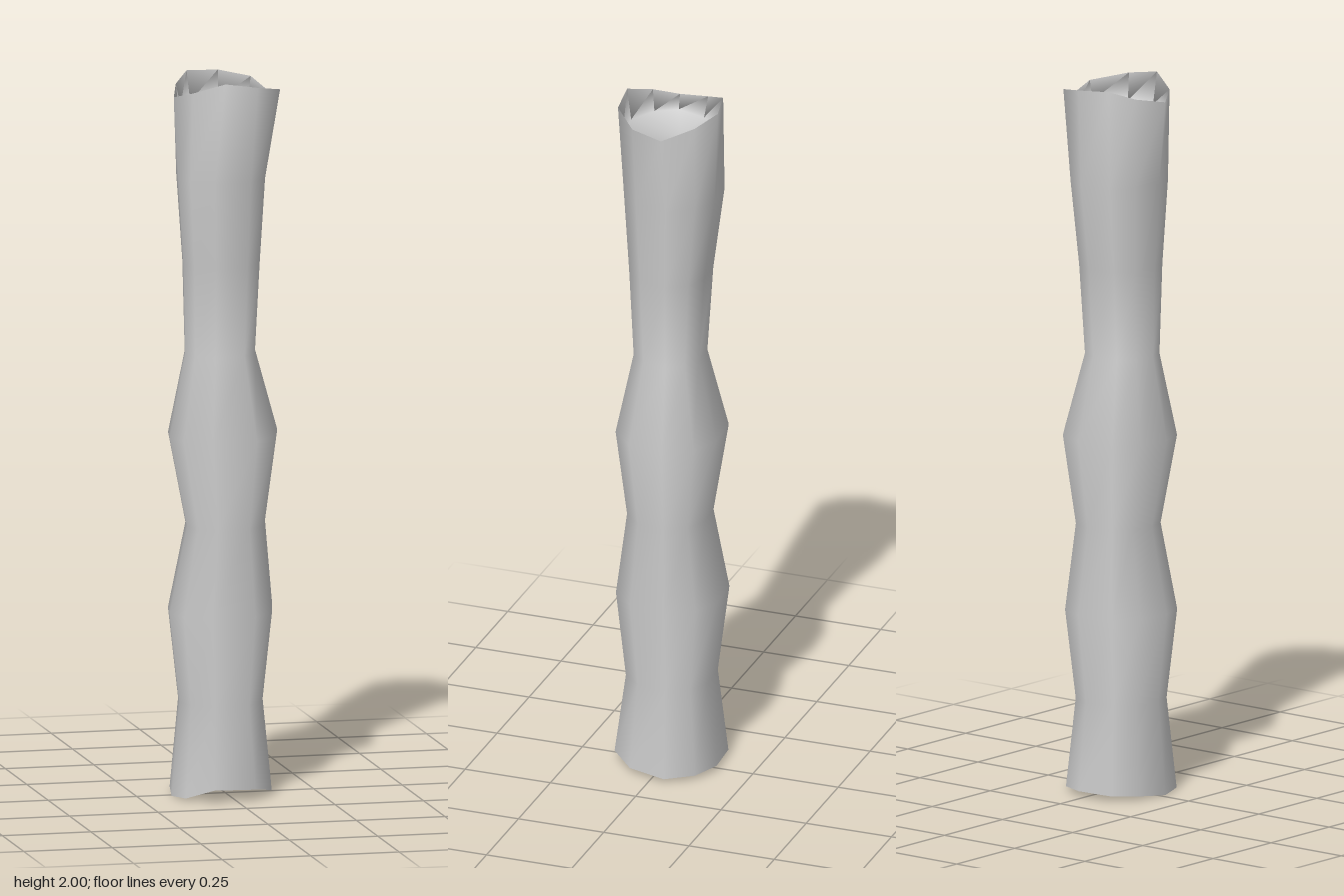
import * as THREE from 'three';

// Ten-sided irregular outline as [x, z], counter-clockwise seen from above
const OUTLINE = [[0.16, -0.043], [0.105, -0.12], [0.02, -0.157], [-0.096, -0.15], [-0.143, -0.08],
  [-0.16, 0.015], [-0.137, 0.09], [-0.07, 0.152], [0.06, 0.135], [0.13, 0.068]];
const RIM = [[0.138, -0.032], [0.1, -0.116], [0.016, -0.153], [-0.077, -0.134], [-0.122, -0.073],
  [-0.15, 0.02], [-0.112, 0.085], [-0.03, 0.13], [0.063, 0.122], [0.143, 0.05]];

// Heights of the wavy cut ends
const BOTTOM_Y = [0.01, 0.012, 0.015, 0.015, 0.01, 0, 0.005, 0.035, 0.03, 0.015];
const TOP_Y = [1.94, 1.975, 1.99, 1.995, 1.97, 1.95, 1.97, 2.0, 1.985, 1.965];

// Stem rings: y, -x, +x, -z, +z extents
const RINGS = [
  [0.26, 0.132, 0.113, 0.123, 0.12],
  [0.51, 0.16, 0.143, 0.152, 0.148],
  [0.75, 0.11, 0.12, 0.115, 0.115],
  [1.0, 0.16, 0.157, 0.15, 0.147],
  [1.23, 0.115, 0.09, 0.095, 0.098],
  [1.48, 0.12, 0.105, 0.112, 0.11],
  [1.72, 0.135, 0.122, 0.143, 0.125],
];

// Fit the outline to the extents of one ring
function ring(x0, x1, z0, z1, y) {
  return OUTLINE.map(([x, z], i) => [
    x < 0 ? (x / 0.16) * x0 : (x / 0.16) * x1,
    Array.isArray(y) ? y[i] : y,
    z < 0 ? (z / 0.157) * z0 : (z / 0.152) * z1,
  ]);
}

const inset = (points, scale, y) => points.map((p) => [p[0] * scale, y, p[2] * scale]);

// Skin closed cross-sections and close both ends with a centre point
function loft(sections, startCentre, endCentre) {
  const n = sections[0].length;
  const points = [...sections.flat(), startCentre, endCentre];
  const start = points.length - 2, end = points.length - 1;
  const index = [];
  const last = (sections.length - 1) * n;
  for (let i = 0; i < n; i++) {
    const j = (i + 1) % n;
    for (let s = 0; s < sections.length - 1; s++) {
      const a = s * n + i, b = s * n + j;
      index.push(a, b, b + n, a, b + n, a + n);
    }
    index.push(start, j, i, end, last + i, last + j);
  }
  const geometry = new THREE.BufferGeometry();
  geometry.setAttribute('position', new THREE.Float32BufferAttribute(points.flat(), 3));
  geometry.setIndex(index);
  geometry.computeVertexNormals();
  return geometry;
}

export function createModel() {
  const group = new THREE.Group();
  group.name = 'stalk';

  const bottom = ring(0.155, 0.14, 0.15, 0.153, BOTTOM_Y);
  const top = RIM.map(([x, z], i) => [x, TOP_Y[i], z]);

  // Stem with hollowed ends: recessed floor, outer rings, recessed floor
  const sections = [
    inset(bottom, 0.9, 0.08),
    bottom,
    ...RINGS.map(([y, ...extents]) => ring(...extents, y)),
    top,
    inset(top, 0.9, 1.91),
  ];
  const stem = new THREE.Mesh(
    loft(sections, [0, 0.1, 0], [-0.02, 1.89, -0.03]),
    new THREE.MeshStandardMaterial({ color: 0xcccccc, side: THREE.DoubleSide }),
  );
  stem.name = 'stem';
  group.add(stem);
  return group;
}
